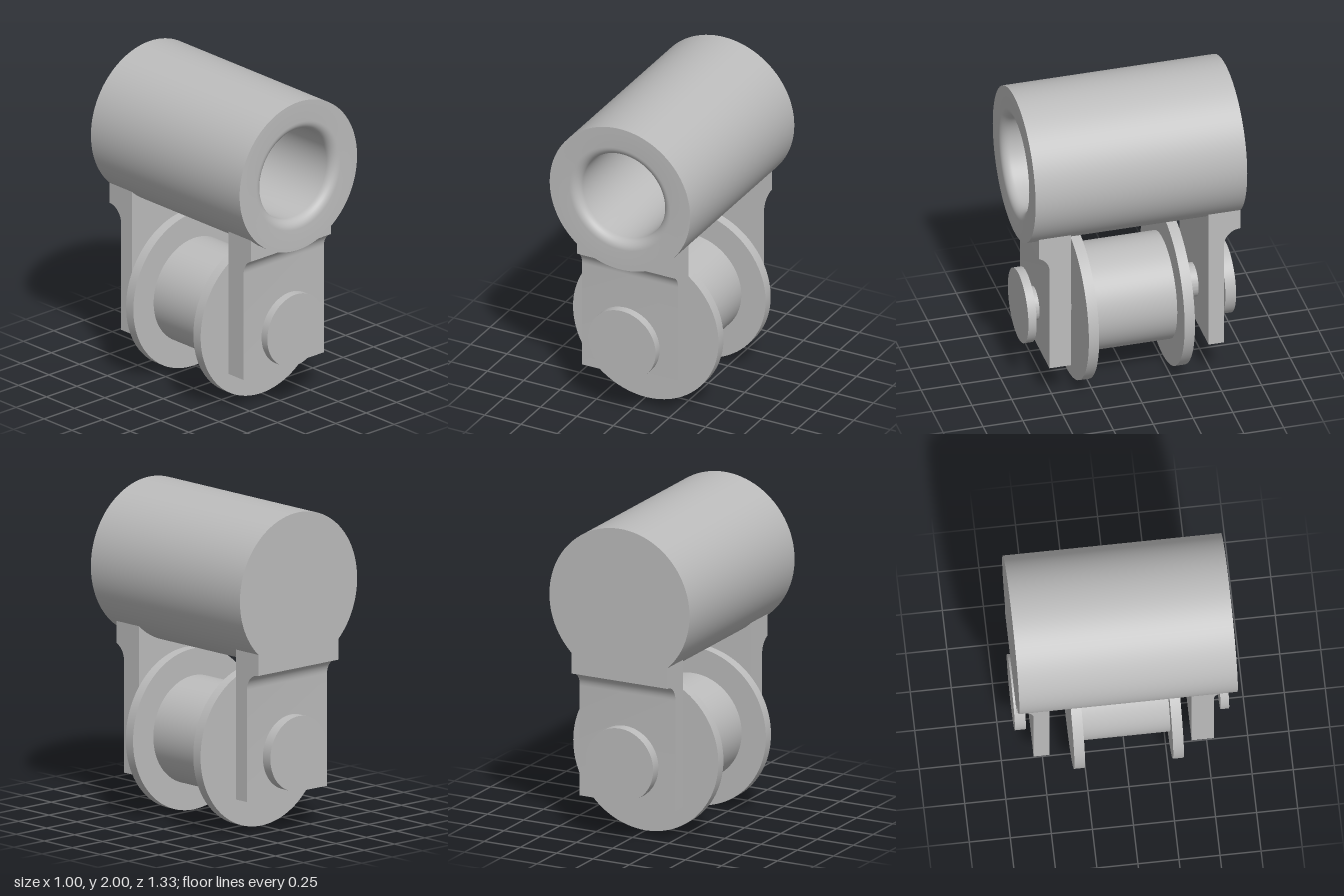
import * as THREE from 'three';
import { toCreasedNormals } from 'three/addons/utils/BufferGeometryUtils.js';

export function createModel() {
  const model = new THREE.Group();
  model.name = 'rollerHanger';
  const steel = new THREE.MeshStandardMaterial({ color: 0xbcbcbc });
  steel.name = 'grey steel';

  const add = (name, geometry) => {
    const mesh = new THREE.Mesh(geometry, steel);
    mesh.name = name;
    model.add(mesh);
  };
  // Turned part along z from [radius, z] pairs, with sharp edges kept
  const turned = (name, y, profile) => {
    const points = profile.map(([r, z]) => new THREE.Vector2(r, z));
    const geometry = new THREE.LatheGeometry(points, 96).rotateX(Math.PI / 2);
    add(name, toCreasedNormals(geometry, 0.5).translate(0, y, 0));
  };
  const disc = (name, r, y, z0, z1) => turned(name, y, [[0, z0], [r, z0], [r, z1], [0, z1]]);

  // Barrel with a blind bore and a rounded mouth
  const bore = 0.287, round = 0.06, front = 0.665;
  const mouth = [];
  for (let i = 0; i <= 8; i++) {
    const a = (i / 8) * Math.PI / 2;
    mouth.push([bore + round * (1 - Math.sin(a)), front - round * (1 - Math.cos(a))]);
  }
  turned('barrel', 1.518, [[0, -front], [0.483, -front], [0.483, front],
    ...mouth, [bore, -0.45], [0, -0.45]]);

  // Hanger arms: side outline in (z, y), with a concave fillet under the top flange
  const arm = (name, inner, outer, lip) => {
    const s = Math.sign(outer), r = 0.103, cy = 0.932;
    const cz = outer + s * r;
    const start = Math.acos(Math.min(1, (cz - lip) * s / r));
    const outline = [[inner, 0.235], [outer, 0.235]];
    for (let i = 0; i <= 10; i++) {
      const a = start * i / 10;
      outline.push([cz - s * r * Math.cos(a), cy + r * Math.sin(a)]);
    }
    outline.push([lip, 1.18], [inner, 1.18]);
    const shape = new THREE.Shape(outline.map(([z, y]) => new THREE.Vector2(z, y)));
    const geometry = new THREE.ExtrudeGeometry(shape, { depth: 0.66, bevelEnabled: false });
    add(name, toCreasedNormals(geometry.rotateY(-Math.PI / 2).translate(0.33, 0, 0), 0.5));
  };
  arm('frontArm', 0.4, 0.535, 0.6);
  arm('rearArm', -0.465, -0.562, -0.665);

  // Flanged roller
  turned('roller', 0.5, [[0, -0.332], [0.5, -0.332], [0.5, -0.267], [0.333, -0.267],
    [0.333, 0.27], [0.5, 0.27], [0.5, 0.335], [0, 0.335]]);

  // Axle pin and its two heads
  disc('axle', 0.105, 0.503, -0.62, 0.61);
  disc('frontPinHead', 0.232, 0.503, 0.588, 0.64);
  disc('rearPinHead', 0.232, 0.503, -0.665, -0.598);

  return model;
}
